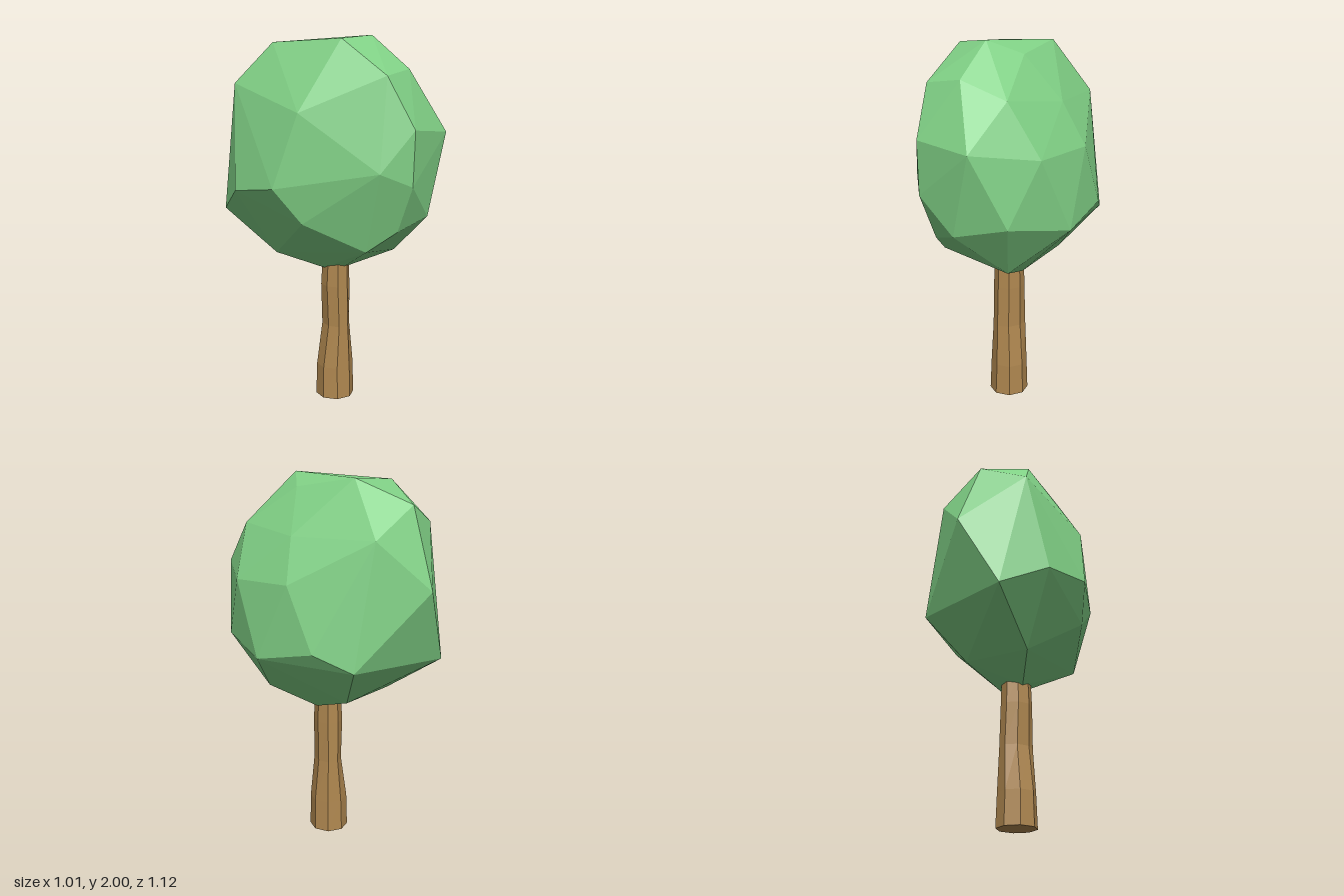
import * as THREE from 'three';
import { ConvexGeometry } from 'three/addons/geometries/ConvexGeometry.js';

// Corner points of the faceted crown, from the top down: x, y, z
const crownPoints = [
  [0.135, 2.0, 0.18], [-0.08, 1.98, 0.235], [-0.02, 1.98, -0.265], [-0.29, 1.965, -0.11],
  [0.19, 1.93, 0], [-0.27, 1.855, -0.41], [0.245, 1.83, 0.36], [0.045, 1.8, 0.46],
  [0.41, 1.74, 0.19], [-0.455, 1.755, -0.235], [0.28, 1.7, -0.17], [-0.03, 1.7, -0.505],
  [-0.32, 1.62, 0.22],
  [0.15, 1.54, 0.555], [0.45, 1.51, 0.41], [0.505, 1.465, 0.055], [0.34, 1.475, -0.275],
  [-0.31, 1.45, -0.56], [-0.02, 1.33, 0.505], [0.145, 1.26, 0.55], [-0.43, 1.24, 0.15],
  [-0.51, 1.2, -0.135], [0.26, 1.15, -0.41], [0.505, 1.14, 0.23],
  [0.32, 1.08, 0.44], [0.46, 1.08, -0.135], [0.085, 1.065, -0.525], [-0.46, 1.06, -0.4],
  [-0.3, 1.06, 0.22], [0.12, 1.02, 0.46],
  [-0.01, 0.91, 0.37], [0.315, 0.84, 0.145], [-0.28, 0.84, -0.12], [0.03, 0.84, -0.3],
  [-0.05, 0.75, 0], [0.1, 0.75, -0.04], [0.04, 0.75, 0.05],
];

// Trunk rings: height, half width in x, half width in z, centre x
const trunkRings = [
  [0, 0.098, 0.1, 0.017],
  [0.18, 0.095, 0.093, 0.018],
  [0.42, 0.067, 0.086, 0.023],
  [0.65, 0.072, 0.08, 0.02],
  [0.8, 0.066, 0.076, 0.022],
];

// Eight-sided trunk whose rings are reshaped one by one
function makeTrunk() {
  const last = trunkRings.length - 1;
  const geometry = new THREE.CylinderGeometry(1, 1, last, 8, last).rotateY(Math.PI / 8);
  const pos = geometry.attributes.position;
  const scale = 1 / Math.cos(Math.PI / 8);
  for (let i = 0; i < pos.count; i++) {
    const [y, rx, rz, cx] = trunkRings[Math.round(pos.getY(i) + last / 2)];
    pos.setXYZ(i, cx + pos.getX(i) * rx * scale, y, 0.005 + pos.getZ(i) * rz * scale);
  }
  const flat = geometry.toNonIndexed();
  flat.computeVertexNormals();
  return flat;
}

export function createModel() {
  const leafGreen = new THREE.MeshStandardMaterial({ color: 0x80d085 });
  leafGreen.name = 'leaf green';
  const barkBrown = new THREE.MeshStandardMaterial({ color: 0xb08850 });
  barkBrown.name = 'bark brown';

  const tree = new THREE.Group();
  tree.name = 'tree';

  const crown = new THREE.Mesh(
    new ConvexGeometry(crownPoints.map((p) => new THREE.Vector3(...p))), leafGreen);
  crown.name = 'crown';

  const trunk = new THREE.Mesh(makeTrunk(), barkBrown);
  trunk.name = 'trunk';

  tree.add(crown, trunk);
  return tree;
}
